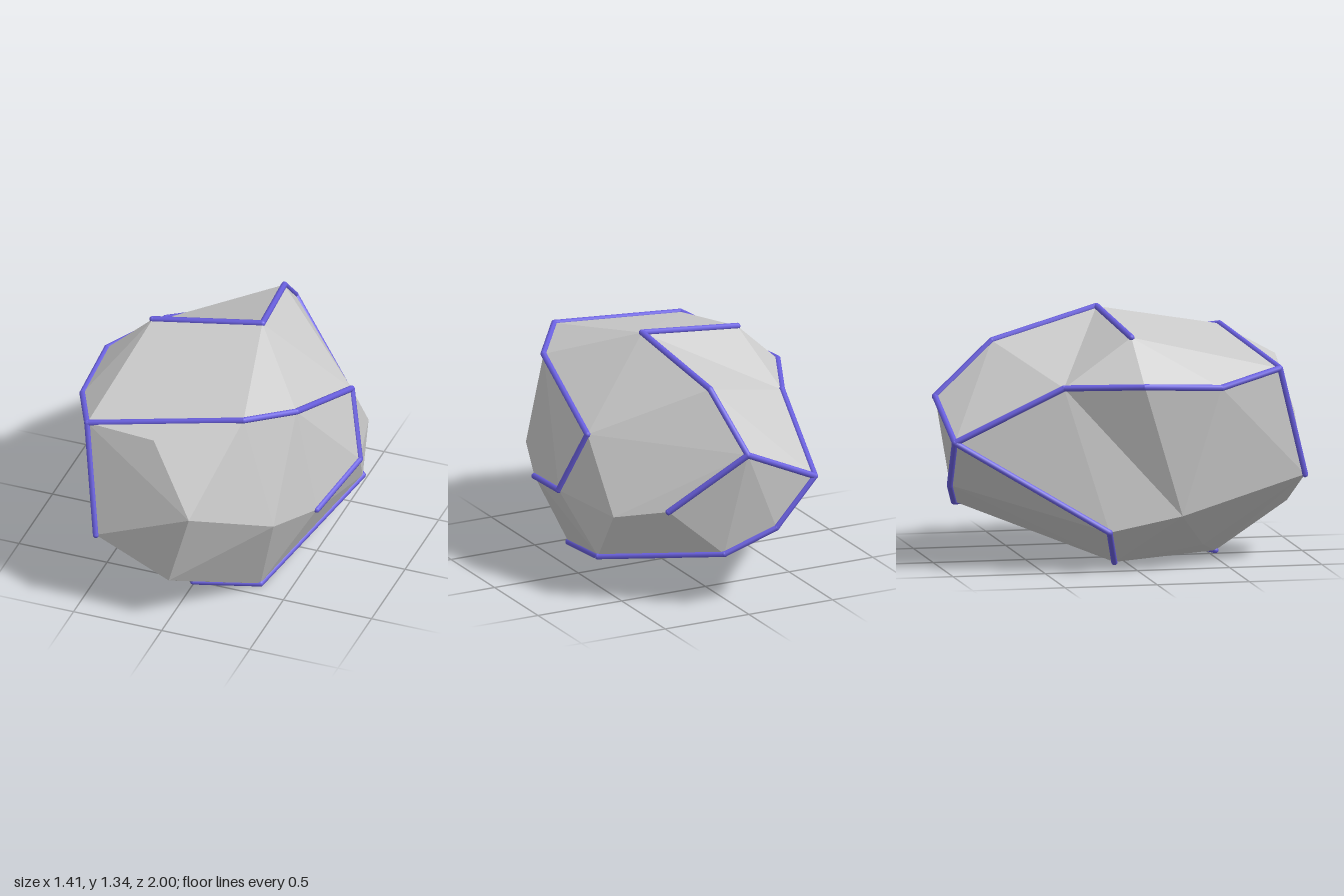
import * as THREE from 'three';
import { ConvexGeometry } from 'three/addons/geometries/ConvexGeometry.js';

// Corners of the faceted boulder
const P = {
  // crown
  apex: [0.16, 1.32, -0.08], crownRight: [-0.44, 1.24, -0.02], crownBack: [0.06, 1.17, -0.67],
  crownFront: [0.32, 1.18, 0.62], shoulder: [0.52, 1.12, 0.36], notch: [-0.51, 0.99, -0.4],
  // right side (-x)
  rightTop: [-0.69, 1.01, 0], rightFront: [-0.67, 0.99, 0.42],
  rightLow: [-0.62, 0.3, 0.22], rightLowBack: [-0.59, 0.22, -0.17],
  // front
  browRight: [-0.51, 1.06, 0.77], brow: [-0.11, 1.08, 0.83], nose: [0.15, 0.73, 0.99],
  cheek: [-0.4, 0.47, 0.93], chin: [0.01, 0.27, 0.92], frontLeft: [0.49, 0.54, 0.62],
  // left side (+x)
  leftTop: [0.59, 0.88, -0.28], leftMid: [0.69, 0.54, -0.14], leftFront: [0.61, 0.47, 0.29],
  leftBack: [0.58, 0.5, -0.56], leftLow: [0.6, 0.24, -0.42],
  // back
  backTop: [0, 0.89, -0.99], backRight: [-0.41, 0.7, -0.97], backLeft: [0.36, 0.56, -0.77],
  backMid: [-0.19, 0.44, -0.95], backLow: [0.08, 0.31, -0.87],
  // underside
  baseBack: [-0.29, 0.015, -0.08], baseFront: [0, 0.015, 0.53],
  baseLeft: [0.34, 0.015, 0.42], baseRight: [-0.2, 0.08, 0.42],
};
const vec = (name) => new THREE.Vector3(...P[name]);

// Blue veins, each following a run of facet edges
const veins = [
  ['cheek', 'browRight', 'crownFront', 'shoulder', 'leftTop', 'leftMid', 'leftFront'],
  ['browRight', 'rightFront', 'rightTop', 'notch', 'backRight', 'backTop'],
  ['backLeft', 'backTop', 'crownBack', 'apex', 'crownRight'],
  ['backRight', 'backMid', 'backLow', 'leftLow', 'baseLeft', 'baseFront'],
  ['backRight', 'rightLowBack', 'baseBack'],
];

export function createModel() {
  const model = new THREE.Group();
  model.name = 'veinedBoulder';
  const stone = new THREE.MeshStandardMaterial({ color: 0xcccccc, flatShading: true });
  const blue = new THREE.MeshStandardMaterial({ color: 0x6a60e0 });

  // Two overlapping convex lobes that leave a shallow valley through the notch
  const lobe = (name, skip) => {
    const points = Object.keys(P).filter((k) => !skip.includes(k)).map(vec);
    const mesh = new THREE.Mesh(new ConvexGeometry(points), stone);
    mesh.name = name;
    model.add(mesh);
  };
  lobe('frontLobe', ['crownBack', 'backTop', 'backRight', 'backLeft', 'backMid', 'backLow', 'rightLowBack']);
  lobe('backLobe', ['crownRight', 'rightTop', 'rightFront']);

  // Thin round rods with rounded joints
  const radius = 0.017;
  const up = new THREE.Vector3(0, 1, 0);
  const joint = new THREE.SphereGeometry(radius, 10, 8);
  veins.forEach((path, i) => {
    const vein = new THREE.Group();
    vein.name = `vein${i + 1}`;
    path.forEach((name, j) => {
      const a = vec(name);
      const knob = new THREE.Mesh(joint, blue);
      knob.name = 'veinJoint';
      knob.position.copy(a);
      vein.add(knob);
      if (j === path.length - 1) return;
      const b = vec(path[j + 1]);
      const rod = new THREE.Mesh(new THREE.CylinderGeometry(radius, radius, a.distanceTo(b), 8, 1, true), blue);
      rod.name = 'veinRod';
      rod.position.copy(a).lerp(b, 0.5);
      rod.quaternion.setFromUnitVectors(up, b.sub(a).normalize());
      vein.add(rod);
    });
    model.add(vein);
  });
  return model;
}
